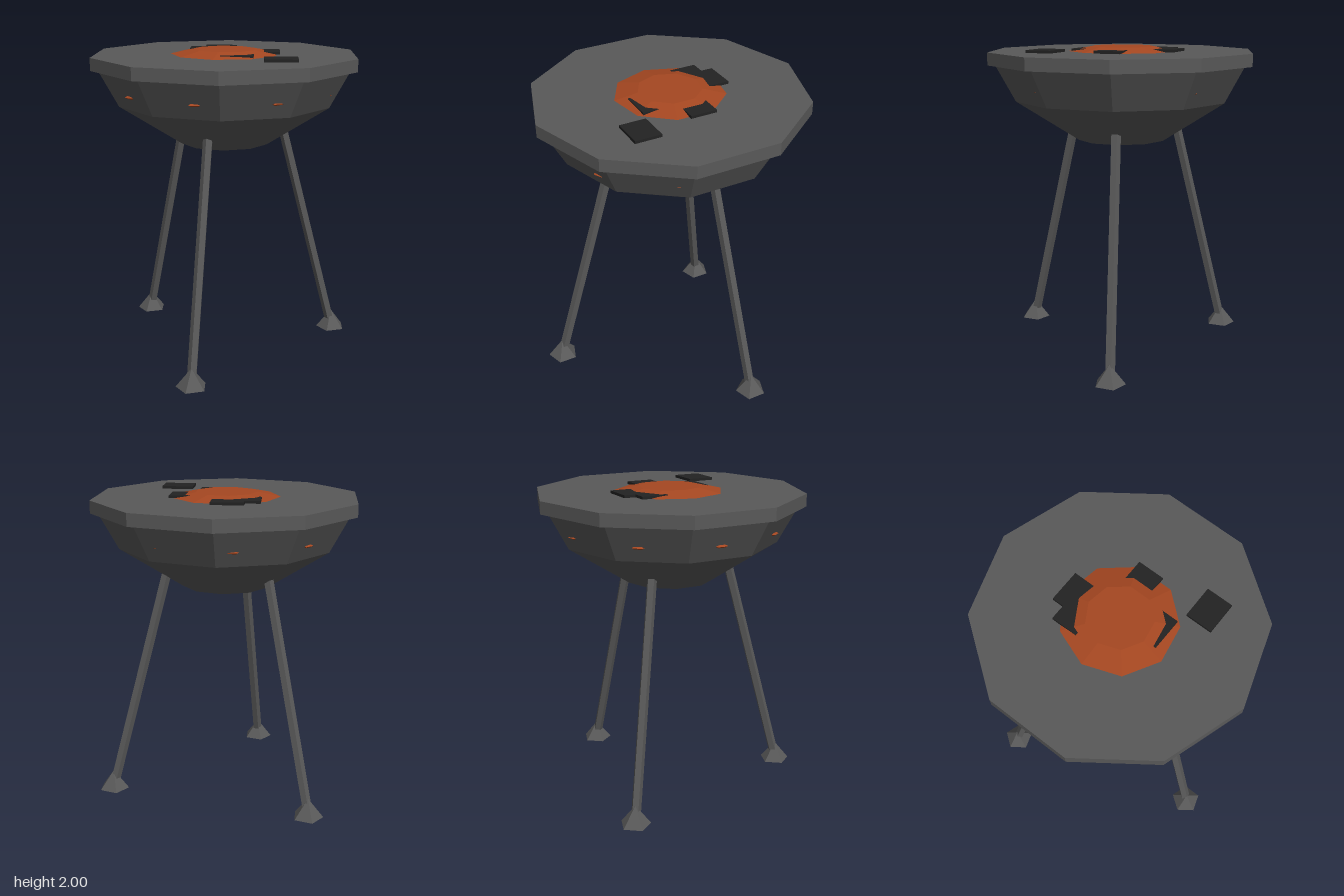
import * as THREE from 'three';

export function createModel() {
  const model = new THREE.Group();
  model.name = 'firePit';

  const material = (name, color) => {
    const m = new THREE.MeshStandardMaterial({ color, flatShading: true });
    m.name = name;
    return m;
  };
  const metal = material('dark metal', 0x595959);
  const ember = material('ember orange', 0xa54721);
  const coal = material('coal black', 0x222222);

  const add = (name, geometry, mat, x = 0, y = 0, z = 0) => {
    const mesh = new THREE.Mesh(geometry, mat);
    mesh.name = name;
    mesh.position.set(x, y, z);
    model.add(mesh);
    return mesh;
  };

  // Ten-sided bowl, with its upper edge tucked into the rim
  const profile = [[0, 1.4], [0.285, 1.4], [0.69, 1.66], [0.815, 1.89], [0.83, 1.92]]
    .map(([r, y]) => new THREE.Vector2(r, y));
  add('bowl', new THREE.LatheGeometry(profile, 10), metal);

  // Flat rim plate closing the bowl
  add('rim', new THREE.CylinderGeometry(0.863, 0.863, 0.08, 10), metal, 0, 1.93, 0);

  // Low ember mound, nine sides with a corner towards -x
  const mound = new THREE.CylinderGeometry(0.2, 0.375, 0.036, 9);
  mound.rotateY(-Math.PI / 2);
  add('emberMound', mound, ember, 0, 1.982, 0);

  // Coal blocks half sunk in the embers
  const block = new THREE.BoxGeometry(0.205, 0.06, 0.17);
  for (const [x, z] of [[0.352, 0.37], [0.247, -0.043], [-0.037, -0.29], [-0.132, -0.215], [0.083, 0.185]]) {
    add('coal', block, coal, x, 1.957, z);
  }

  // Glowing slits around the bowl, barely breaking its surface
  const slit = new THREE.SphereGeometry(0.058, 6, 4);
  slit.scale(1, 0.22, 1);
  for (let i = 0; i < 9; i++) {
    const a = THREE.MathUtils.degToRad(-12 + i * 40);
    add('glowSlit', slit, ember, 0.673 * Math.sin(a), 1.752, 0.673 * Math.cos(a)).rotation.y = a;
  }

  // Three splayed legs with five-sided pyramid feet
  const up = new THREE.Vector3(0, 1, 0);
  const footShape = new THREE.ConeGeometry(0.1, 0.125, 5);
  footShape.rotateY(-Math.PI / 2);
  for (let i = 0; i < 3; i++) {
    const a = THREE.MathUtils.degToRad(-13 + i * 120);
    const at = (r, y) => new THREE.Vector3(r * Math.sin(a), y, r * Math.cos(a));
    const bottom = at(0.785, 0.008);
    const top = at(0.365, 1.59);
    const mid = bottom.clone().add(top).multiplyScalar(0.5);
    const shape = new THREE.CylinderGeometry(0.032, 0.032, bottom.distanceTo(top), 5);
    shape.rotateY(-Math.PI / 2);
    const leg = add('leg', shape, metal, mid.x, mid.y, mid.z);
    leg.quaternion.setFromUnitVectors(up, top.sub(bottom).normalize());
    const f = at(0.777, 0.0775);
    add('foot', footShape, metal, f.x, f.y, f.z);
  }

  return model;
}
